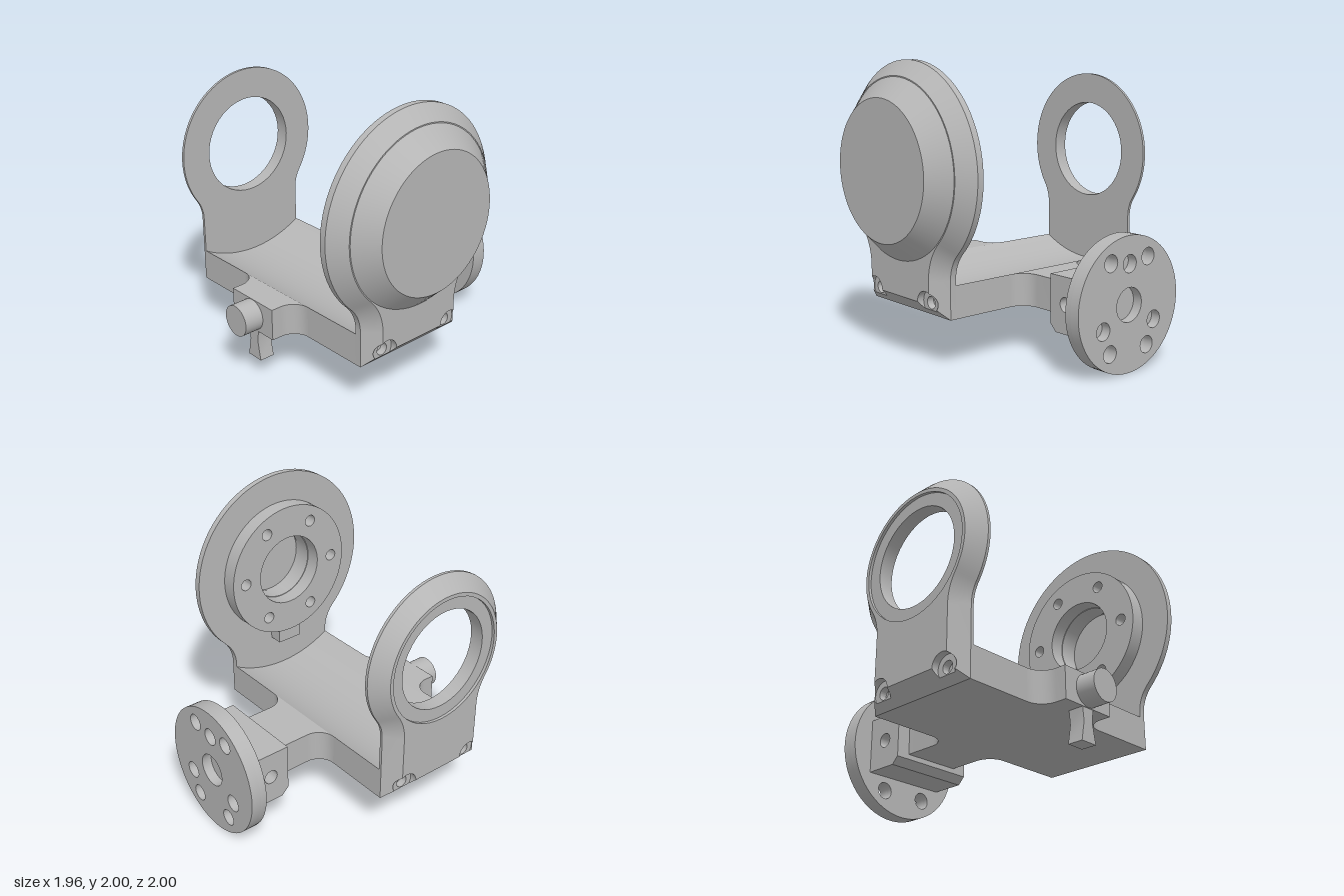
import * as THREE from 'three';
import { mergeGeometries, toCreasedNormals } from 'three/addons/utils/BufferGeometryUtils.js';

const CX = -0.215, CY = 1.29;      // axis of the two rings
const W = 0.425, Y0 = 0.345, C = 0.1; // half width, underside and chamfer
const AZ = -0.08, AY = 0.457;      // axis of the side arms
const V = (x, y) => new THREE.Vector2(x, y);

// Open strip of quads between two equal rows of [x, y, z]
function strip(a, b) {
  const p = [];
  for (let i = 0; i + 1 < a.length; i++) {
    p.push(...a[i], ...a[i + 1], ...b[i + 1], ...a[i], ...b[i + 1], ...b[i]);
  }
  const g = new THREE.BufferGeometry();
  g.setAttribute('position', new THREE.Float32BufferAttribute(p, 3));
  return g;
}

// Flat outline, lifted to depth z(x, y)
function face(points, z, ...holes) {
  const s = new THREE.Shape(points);
  s.holes = holes.map((h) => new THREE.Path(h));
  const g = new THREE.ShapeGeometry(s).toNonIndexed();
  g.deleteAttribute('normal');
  g.deleteAttribute('uv');
  const p = g.attributes.position;
  for (let i = 0; i < p.count; i++) p.setZ(i, z(p.getX(i), p.getY(i)));
  return g;
}

const circle = (x, y, r, n = 48) => Array.from({ length: n + 1 }, (_, i) =>
  V(x + r * Math.cos((i / n) * Math.PI * 2), y + r * Math.sin((i / n) * Math.PI * 2)));
const at = (pts, z) => pts.map((p) => [p.x, p.y, typeof z === 'function' ? z(p.x, p.y) : z]);
const mirror = (pts) => pts.map((p) => V(-p.x, p.y));
const tube = (x, y, r, z0, z1) => {
  const c = circle(x, y, r);
  return strip(at(c, z0), at(c, z1));
};

// Keyhole outline above the straight neck, inset by d
function keyhole(R, cy, d) {
  const s = CY - cy, rf = (W * W + s * s - R * R) / (2 * (R - W));
  const phi = Math.atan2(s, -(W + rf)), right = [], round = [];
  for (let i = 0; i <= 10; i++) {
    const a = Math.PI + ((phi - Math.PI) * i) / 10;
    right.push(V(W + rf + (rf + d) * Math.cos(a), cy + (rf + d) * Math.sin(a)));
  }
  const a0 = phi - Math.PI, a1 = 2 * Math.PI - phi;
  for (let i = 1; i < 72; i++) {
    const a = a0 + ((a1 - a0) * i) / 72;
    round.push(V((R - d) * Math.cos(a), CY + (R - d) * Math.sin(a)));
  }
  return [...right, ...round, ...mirror(right).reverse()];
}

// Chamfered ring plate with its face at z = 0 and a screw seat in each lower corner
function plate(R, cy, back, seatR, holeR) {
  const sx = 0.285, sy = Y0 + C, sr = 0.083, floor = -0.05;
  const arc = (a, b, n = 20) => Array.from({ length: n + 1 }, (_, i) => {
    const t = ((a + ((b - a) * i) / n) * Math.PI) / 180;
    return V(sx + sr * Math.cos(t), sy + Math.max(floor, sr * Math.sin(t)));
  });
  const side = (x) => W - C - Math.abs(x), low = (x, y) => y - Y0 - C;
  const outer = keyhole(R, cy, 0), inner = keyhole(R, cy, C);
  const full = [V(W, Y0), ...outer, V(-W, Y0)];
  const rim = [...full, full[0]];
  const hole = circle(0, CY, holeR), seat = circle(0, CY, seatR);

  const parts = [
    strip(at(rim, back), at(rim, -C)),
    strip(at(outer, -C), at(inner, 0)),
    face(full, () => back, hole),
    face([...inner, ...mirror(arc(61.2, 180)), ...arc(180, 61.2)], () => 0, seat),
    face([V(-W, Y0), V(W, Y0), ...arc(334.9, 180), ...mirror(arc(180, 334.9))], low),
    tube(0, CY, seatR, 0, -0.02),
    face(seat, () => -0.02, hole),
    tube(0, CY, holeR, -0.02, back),
  ];
  const flank = [V(W, Y0), V(W, cy), V(W - C, cy), ...arc(61.2, -25.1)];
  const ring = arc(0, 360, 48);
  for (const m of [(p) => p, mirror]) {
    const x = m([V(sx, sy)])[0].x;
    parts.push(
      face(m(flank), side),
      strip(at(m(ring), floor), at(m(ring), (px, py) => Math.max(floor, Math.min(0, side(px), low(px, py))))),
      face(m(ring), () => floor, circle(x, sy, 0.042, 24)),
      tube(x, sy, 0.042, floor, floor - 0.05),
      face(circle(x, sy, 0.042, 24), () => floor - 0.05),
    );
  }
  return mergeGeometries(parts);
}

function extrude(points, depth, holes = []) {
  const s = new THREE.Shape(points);
  s.holes = holes.map(([x, y, r]) => new THREE.Path(circle(x, y, r, 36)));
  return new THREE.ExtrudeGeometry(s, { depth, bevelEnabled: false });
}

export function createModel() {
  const model = new THREE.Group();
  const grey = new THREE.MeshStandardMaterial({ color: 0xb6b6b6, side: THREE.DoubleSide });
  grey.name = 'machinedGrey';
  const add = (name, geometry, x = 0, y = 0, z = 0) => {
    const m = new THREE.Mesh(toCreasedNormals(geometry, 0.5), grey);
    m.name = name;
    m.position.set(x, y, z);
    model.add(m);
    return m;
  };

  // Base with a trough concentric with the rings
  const trough = [V(-W, Y0), V(W, Y0)];
  const half = Math.atan2(W, 0.72), tr = Math.hypot(W, 0.72);
  for (let i = 0; i <= 32; i++) {
    const a = half * (1 - i / 16);
    trough.push(V(tr * Math.sin(a), CY - tr * Math.cos(a)));
  }
  add('base', extrude(trough, 1.6), CX, 0, -0.88);

  // End plates
  add('frontPlate', plate(0.71, 0.6, -0.145, 0.26, 0.255), CX, 0, 0.865);
  add('backPlate', plate(0.565, 0.83, -0.12, 0.44, 0.35), CX, 0, -1).rotation.y = Math.PI;

  // Front cap
  const cap = new THREE.LatheGeometry([V(0, 0), V(0.603, 0), V(0.475, 0.135), V(0, 0.135)], 72);
  add('frontCap', cap.rotateX(Math.PI / 2), CX, CY, 0.866);

  // Inner bolt flange and the tab under it
  const bolts = [[0, 0, 0.26]];
  for (let i = 0; i < 6; i++) {
    bolts.push([0.385 * Math.cos((i * Math.PI) / 3), 0.385 * Math.sin((i * Math.PI) / 3), 0.042]);
  }
  add('innerFlange', extrude(circle(0, 0, 0.495, 72), 0.11, bolts), CX, CY, 0.61);
  add('flangeTab', new THREE.BoxGeometry(0.19, 0.12, 0.1), CX, 0.765, 0.67);

  // Side arms with filleted roots, drawn in plan
  for (const [name, s, root, end] of [['leftArm', 1, 0.21, 0.58], ['rightArm', -1, 0.64, 0.84]]) {
    const r = 0.125, w = 0.21, edge = [];
    for (let i = 0; i <= 10; i++) {
      const a = (i / 10) * (Math.PI / 2);
      edge.push(V(s * (root + r - r * Math.cos(a)), w + r - r * Math.sin(a)));
    }
    edge.push(V(s * end, w));
    const plan = [...edge, ...edge.map((p) => V(p.x, -p.y)).reverse()];
    add(name, extrude(plan, 0.225).rotateX(-Math.PI / 2), 0, Y0, AZ);
  }

  // Block with a cross hole
  const block = [V(0.63, 0.26), V(0.866, 0.26), V(0.866, 0.64), V(0.58, 0.64), V(0.58, 0.31)];
  add('mountBlock', extrude(block, 0.625, [[0.72, AY, 0.05]]), 0, 0, -0.39);

  // Mounting disc: through holes in both layers, blind holes in the outer one
  const through = [], blind = [[0, 0, 0.115]];
  for (const x of [-0.17, 0.17]) for (const y of [-0.295, 0.295]) through.push([x, y, 0.058]);
  for (const a of [90, 210, 330]) {
    const t = (a * Math.PI) / 180;
    blind.push([0.27 * Math.cos(t), 0.27 * Math.sin(t), 0.06]);
  }
  const disc = circle(0, 0, 0.455, 72);
  add('discInner', extrude(disc, 0.045, through).rotateY(Math.PI / 2), 0.865, 0.455, AZ);
  add('discOuter', extrude(disc, 0.07, [...through, ...blind]).rotateY(Math.PI / 2), 0.91, 0.455, AZ);

  // Knob and flared foot on the other arm
  const knob = new THREE.CylinderGeometry(0.11, 0.11, 0.15, 40).rotateZ(Math.PI / 2);
  add('knob', knob, -0.905, AY, AZ);
  const foot = [V(-0.065, 0.12), V(0.065, 0.12), V(0.04, 0.25), V(0.05, 0.36), V(-0.05, 0.36), V(-0.04, 0.25)];
  add('foot', extrude(foot, 0.11).rotateY(Math.PI / 2), -0.835, 0, AZ);

  return model;
}
